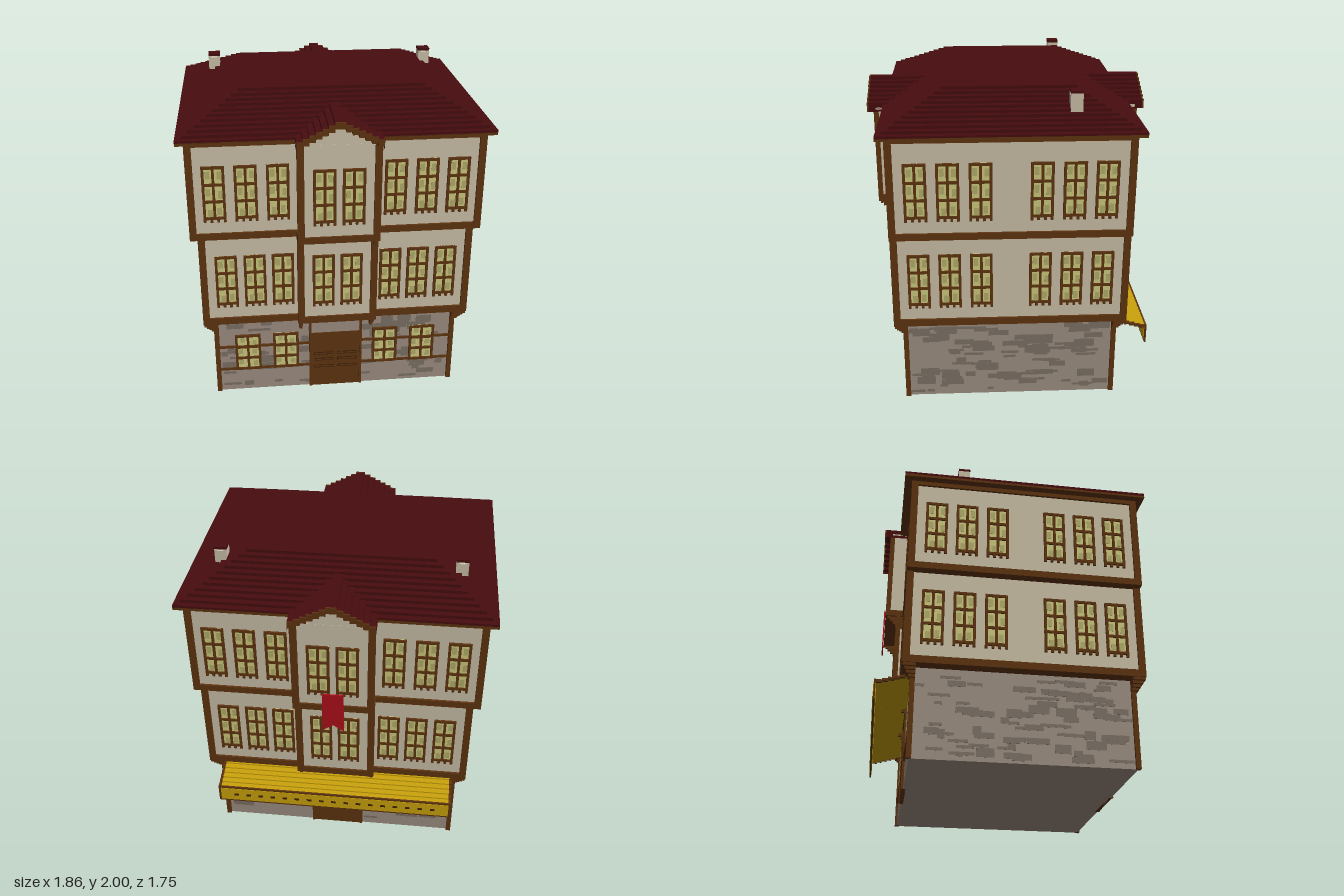
import * as THREE from 'three';
import { mergeGeometries } from 'three/addons/utils/BufferGeometryUtils.js';

const mat = (name, color, side = THREE.FrontSide) => {
  const m = new THREE.MeshStandardMaterial({ color, side });
  m.name = name;
  return m;
};

export function createModel() {
  const root = new THREE.Group();
  root.name = 'timberHouse';
  const cream = mat('cream plaster', 0xcdc2a9), stone = mat('stone', 0x9f9083);
  const darkStone = mat('dark stone', 0x7d7266), wood = mat('wood', 0x5f3410);
  const darkWood = mat('dark wood', 0x3d2108), tile = mat('roof tile', 0x470c0f);
  const glass = mat('glass', 0xcfcc80), glassDark = mat('glass shade', 0xb5b06f);
  const yellow = mat('awning yellow', 0xcda40c), red = mat('banner red', 0xb0101a, THREE.DoubleSide);

  let seed = 7;
  const rnd = () => (seed = (seed * 16807) % 2147483647) / 2147483647;
  const group = (name, parent = root) => {
    const g = new THREE.Group();
    g.name = name;
    parent.add(g);
    return g;
  };
  // Box geometry given by its limits on each axis
  const geo = (x0, x1, y0, y1, z0, z1) =>
    new THREE.BoxGeometry(x1 - x0, y1 - y0, z1 - z0).translate((x0 + x1) / 2, (y0 + y1) / 2, (z0 + z1) / 2);
  const add = (parent, name, g, m) => {
    const mesh = new THREE.Mesh(Array.isArray(g) ? mergeGeometries(g) : g, m);
    mesh.name = name;
    parent.add(mesh);
    return mesh;
  };
  const box = (parent, name, m, ...b) => add(parent, name, geo(...b), m);
  const SIGNS = [-1, 1];
  const range = (a, b) => [Math.min(a, b), Math.max(a, b)];

  // Window parts: frame with glazing bars, glass and shaded glass squares
  function windowGeos(w, h, feet) {
    const a = w / 2, t = 0.016, y0 = feet ? 0.018 : 0, step = (h - y0 - t) / 3;
    const frame = [geo(-a, -a + t, y0, h, 0, 0.013), geo(a - t, a, y0, h, 0, 0.013), geo(-t / 2, t / 2, y0, h, 0, 0.012)];
    for (let i = 0; i < 4; i++) frame.push(geo(-a, a, y0 + i * step, y0 + i * step + t, 0, 0.013));
    if (feet) for (const x of [-a + 0.008, -0.02, 0.02, a - 0.008]) frame.push(geo(x - 0.008, x + 0.008, 0, y0, 0, 0.013));
    const shade = [];
    for (let r = 0; r < 3; r++) for (const s of SIGNS) {
      const y = y0 + t + r * step + rnd() * step * 0.35, x = s * a * 0.5 + (rnd() - 0.5) * 0.02;
      shade.push(geo(x - 0.014, x + 0.014, y, y + step * 0.45, 0, 0.006));
    }
    return [[mergeGeometries(frame), wood, 'frame'], [geo(-a, a, y0, h, 0, 0.004), glass, 'pane'],
      [mergeGeometries(shade), glassDark, 'paneShade']];
  }
  const tall = windowGeos(0.135, 0.357, true), small = windowGeos(0.165, 0.265, false);
  const addWindow = (parent, parts, x, y, z) => {
    const g = group('window', parent);
    parts.forEach(([gm, m, n]) => add(g, n, gm, m));
    g.position.set(x, y, z);
  };
  // A wall face whose local +z points outward
  const face = (name, angle) => {
    const g = group(name);
    g.rotation.y = angle;
    return g;
  };
  const FRONT = face('frontFace', 0), BACK = face('backFace', Math.PI);
  const SIDES = [face('leftFace', Math.PI / 2), face('rightFace', -Math.PI / 2)];

  // Ground floor: stone core, corner posts and scattered darker stones
  box(root, 'groundFloor', stone, -0.765, 0.765, 0, 0.55, -0.655, 0.655);
  const stones = (parent, half, z, count) => {
    const list = [];
    for (let i = 0; i < count; i++) {
      const w = 0.04 + rnd() * 0.11, h = 0.018 * (1 + Math.floor(rnd() * 2.4));
      const x = -half + rnd() * (2 * half - w), y = 0.015 + rnd() * (0.52 - h);
      list.push(geo(x, x + w, y, y + h, z, z + 0.001 + i * 0.00002));
    }
    add(parent, 'darkStones', list, darkStone);
  };
  SIDES.forEach(s => stones(s, 0.64, 0.765, 85));
  [FRONT, BACK].forEach(s => stones(s, 0.745, 0.655, 70));

  // One storey: beam, wall core and corner posts
  const storey = (name, X, Z, y0, yb, y1) => {
    const g = group(name);
    box(g, 'beam', wood, -X, X, y0, yb, -Z, Z);
    box(g, 'wall', cream, -X + 0.014, X - 0.014, yb, y1, -Z + 0.014, Z - 0.014);
    for (const sx of SIGNS) for (const sz of SIGNS)
      box(g, 'cornerPost', wood, ...range(sx * X, sx * (X - 0.042)), yb, y1, ...range(sz * Z, sz * (Z - 0.042)));
  };
  storey('middleStorey', 0.84, 0.72, 0.55, 0.595, 1.148);
  storey('upperStorey', 0.885, 0.72, 1.148, 1.19, 1.745);
  box(root, 'topBeam', wood, -0.885, 0.885, 1.745, 1.775, -0.72, 0.72);

  // Ground posts and stepped corner brackets
  for (const sx of SIGNS) for (const sz of SIGNS) {
    box(root, 'groundPost', wood, ...range(sx * 0.78, sx * 0.75), 0, 0.55, ...range(sz * 0.67, sz * 0.64));
    const steps = [];
    for (let k = 0; k < 4; k++) {
      const f = 1 - k / 4;
      steps.push(geo(...range(sx * 0.75, sx * (0.78 + 0.055 * f)), 0.532 - k * 0.018, 0.55 - k * 0.018,
        ...range(sz * 0.64, sz * (0.67 + 0.045 * f))));
    }
    add(root, 'cornerBracket', steps, wood);
  }

  // Stepped gable line, n steps of 0.0365 by 0.0185
  const gableLine = (dy) => {
    const left = [], right = [];
    for (let k = 0; k < 7; k++) {
      const w = 0.25 - k * 0.0365, y = 1.79 + k * 0.0185 + dy;
      left.push([-w, y], [-w, y + 0.0185]);
      right.unshift([w, y + 0.0185], [w, y]);
    }
    return [...left, ...right].map(p => new THREE.Vector2(...p));
  };
  const extrude = (pts, z0, z1) =>
    new THREE.ExtrudeGeometry(new THREE.Shape(pts), { depth: z1 - z0, bevelEnabled: false }).translate(0, 0, z0);
  const band = [...gableLine(0), ...gableLine(-0.04).reverse()];

  // Central bays front and back
  for (const F of [FRONT, BACK]) {
    const bay = group('bay', F);
    for (const [y0, yb, y1, z] of [[0.55, 0.595, 1.148, 0.76], [1.148, 1.19, 1.77, 0.83]]) {
      box(bay, 'bayBeam', wood, -0.247, 0.247, y0, yb, 0.6, z);
      box(bay, 'bayWall', cream, -0.235, 0.235, yb, y1, 0.6, z - 0.012);
      for (const s of SIGNS) {
        box(bay, 'bayPost', wood, ...range(s * 0.205, s * 0.247), yb, y1, z - 0.03, z);
        const steps = [], zi = y0 < 1 ? 0.65 : 0.7;
        for (let k = 0; k < 5; k++)
          steps.push(geo(...range(s * 0.217, s * 0.236), y0 - (k + 1) * 0.018, y0 - k * 0.018, zi, z - 0.012 - k * 0.018));
        add(bay, 'bayBracket', steps, wood);
      }
      for (const s of SIGNS) addWindow(bay, tall, s * 0.086, y0 < 1 ? 0.673 : 1.265, z - 0.012);
    }
    add(bay, 'gableWall', extrude(gableLine(-0.03), 0.6, 0.817), cream);
    add(bay, 'gableRoof', extrude(band, 0.35, 0.86), tile);
    add(bay, 'gableTrim', extrude(band, 0.86, 0.87), wood);
    // Main storey windows either side of the bay
    for (const s of SIGNS) {
      for (const x of [0.333, 0.505, 0.68]) addWindow(F, tall, s * x, 0.673, 0.706);
      for (const x of [0.351, 0.54, 0.728]) addWindow(F, tall, s * x, 1.265, 0.706);
    }
    // Door with transom and grooved panels
    const door = group('door', F);
    box(door, 'doorLeaf', wood, -0.17, 0.17, 0, 0.41, 0.64, 0.664);
    box(door, 'transom', stone, -0.155, 0.155, 0.41, 0.5, 0.64, 0.66);
    box(door, 'transomTop', wood, -0.17, 0.17, 0.497, 0.512, 0.64, 0.67);
    for (const s of SIGNS) {
      box(door, 'doorJamb', wood, ...range(s * 0.157, s * 0.172), 0, 0.512, 0.64, 0.67);
      for (const y of [0.14, 0.195, 0.24]) {
        box(door, 'panelGroove', darkWood, ...range(s * 0.012, s * 0.14), y, y + 0.02, 0.66, 0.666);
        box(door, 'panelInset', wood, ...range(s * 0.018, s * 0.134), y + 0.006, y + 0.014, 0.66, 0.668);
      }
    }
  }
  // Side windows
  SIDES.forEach((S) => {
    for (const x of [0.178, 0.368, 0.556]) for (const s of SIGNS) {
      addWindow(S, tall, s * x, 0.673, 0.826);
      addWindow(S, tall, s * x, 1.265, 0.871);
    }
  });
  for (const s of SIGNS) {
    // Ground front: rails and small windows
    for (const y of [0.16, 0.33]) box(FRONT, 'rail', wood, ...range(s * 0.17, s * 0.76), y, y + 0.015, 0.65, 0.666);
    for (const x of [0.323, 0.568]) addWindow(FRONT, small, s * x, 0.16, 0.657);
    // Ground back: shop windows
    const shop = group('shopWindow', BACK);
    box(shop, 'shopGlass', glass, ...range(s * 0.25, s * 0.735), 0.17, 0.5, 0.65, 0.66);
    const shade = [];
    for (let i = 0; i < 16; i++) {
      const x = s * (0.27 + rnd() * 0.34), y = 0.18 + rnd() * 0.28;
      shade.push(geo(...range(x, x + s * 0.11), y, y + 0.018, 0.655, 0.6615 + i * 0.00002));
    }
    add(shop, 'shopGlassShade', shade, glassDark);
    box(shop, 'shopSill', wood, ...range(s * 0.235, s * 0.75), 0.158, 0.172, 0.65, 0.668);
    for (const x of [0.238, 0.737]) box(shop, 'shopJamb', wood, ...range(s * x, s * (x + 0.014)), 0.16, 0.52, 0.65, 0.668);
  }

  // Awning over the back shop front
  const awning = group('awning', BACK);
  for (let k = 0; k < 6; k++) {
    const y = 0.512 - k * 0.0095, z = 0.655 + k * 0.034;
    box(awning, 'awningSlat', yellow, -0.74, 0.74, y - 0.013, y, z, z + 0.036);
    for (const s of SIGNS) box(awning, 'awningEdge', wood, ...range(s * 0.74, s * 0.757), y - 0.015, y + 0.002, z, z + 0.036);
  }
  box(awning, 'valanceBorder', wood, -0.757, 0.757, 0.345, 0.468, 0.86, 0.87);
  box(awning, 'valance', yellow, -0.742, 0.742, 0.358, 0.455, 0.857, 0.873);
  const dashes = [];
  for (let i = -8; i <= 8; i++) dashes.push(geo(i * 0.08 - 0.015, i * 0.08 + 0.015, 0.398, 0.414, 0.87, 0.875));
  add(awning, 'valanceDashes', dashes, darkWood);

  // Swallow-tailed banner on the back bay
  const cloth = [[-0.065, 1.28], [-0.065, 1.0], [0, 1.045], [0.065, 1.0], [0.065, 1.28]].map(p => new THREE.Vector2(...p));
  add(BACK, 'banner', extrude(cloth, 0.832, 0.841), red);

  // Stepped hip roof
  const roof = group('roof');
  box(roof, 'eave', wood, -0.93, 0.93, 1.772, 1.79, -0.765, 0.765);
  for (let k = 0; k < 11; k++) {
    const d = k * 0.0365, y = 1.785 + k * 0.0183;
    box(roof, 'tileCourse', tile, -0.93 + d, 0.93 - d, y, y + 0.0183, -0.765 + d, 0.765 - d);
  }
  // Chimneys
  for (const s of SIGNS) {
    const g = group('chimney');
    g.position.set(s * 0.712, 0, -0.38);
    box(g, 'chimneyStack', cream, -0.037, 0.037, 1.85, 1.972, -0.036, 0.036);
    for (const e of SIGNS) box(g, 'chimneyPost', cream, ...range(e * 0.02, e * 0.037), 1.972, 1.986, -0.036, 0.036);
    box(g, 'chimneyCap', tile, -0.038, 0.038, 1.984, 2, -0.037, 0.037);
  }
  return root;
}
